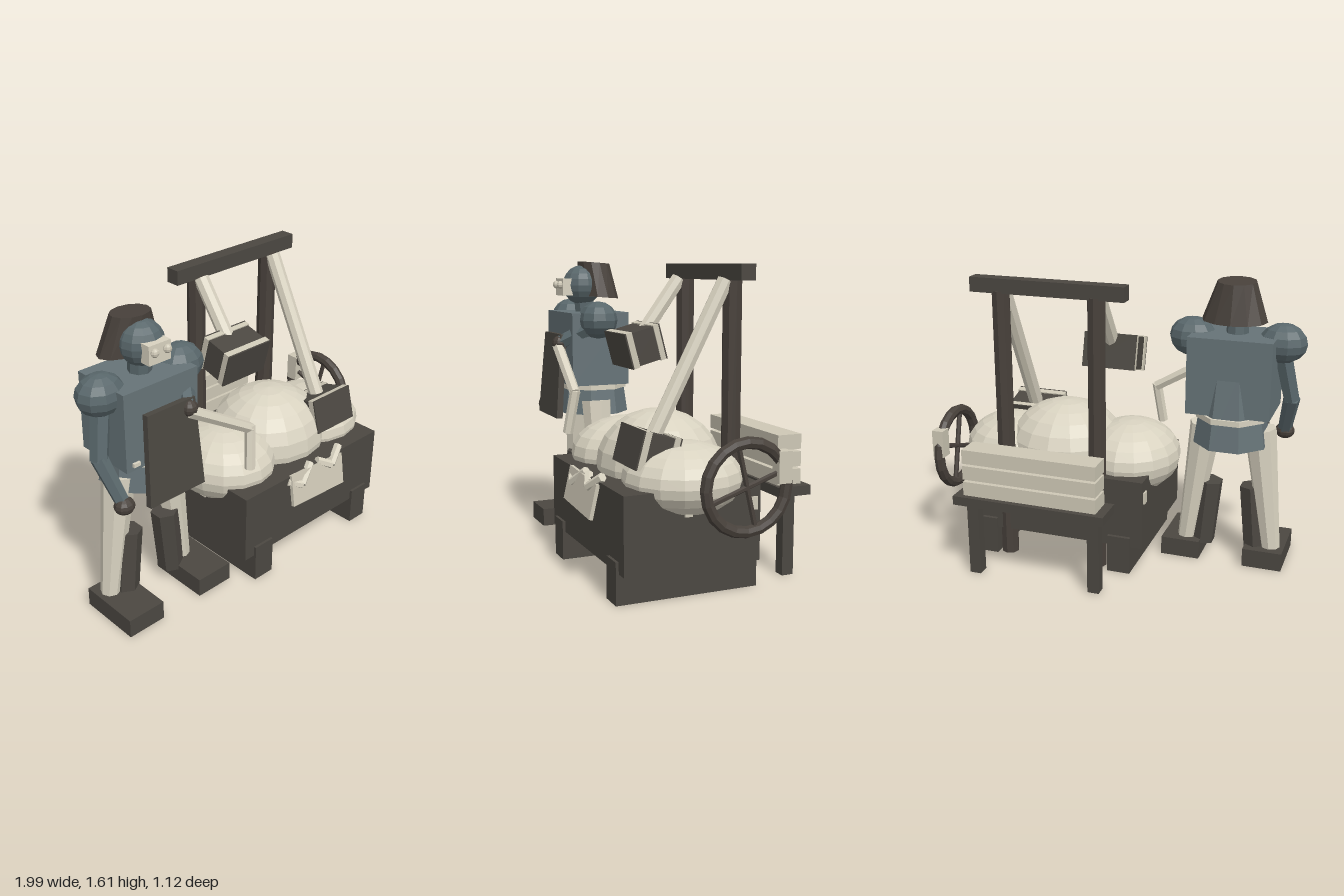
import * as THREE from 'three';

const paint = (name, color) => {
  const m = new THREE.MeshStandardMaterial({ color });
  m.name = name;
  return m;
};

export function createModel() {
  const darkWood = paint('dark wood', 0x4b4741);
  const brown = paint('dark brown', 0x48413b);
  const cream = paint('cream', 0xd8d2c0);
  const paleWood = paint('pale wood', 0xcdc7b5);
  const slate = paint('slate', 0x667377);
  const slateDark = paint('dark slate', 0x59676b);

  const model = new THREE.Group();
  model.name = 'workshopScene';
  const group = (name) => {
    const g = new THREE.Group();
    g.name = name;
    model.add(g);
    return g;
  };
  // Every mesh gets faceted normals
  const add = (parent, name, geo, mat) => {
    const g = geo.index ? geo.toNonIndexed() : geo;
    g.computeVertexNormals();
    const m = new THREE.Mesh(g, mat);
    m.name = name;
    parent.add(m);
    return m;
  };
  const box = (parent, name, mat, x0, x1, y0, y1, z0, z1) => {
    const m = add(parent, name, new THREE.BoxGeometry(x1 - x0, y1 - y0, z1 - z0), mat);
    m.position.set((x0 + x1) / 2, (y0 + y1) / 2, (z0 + z1) / 2);
    return m;
  };
  const rod = (parent, name, mat, a, b, ra, rb = ra, sides = 6) => {
    const A = new THREE.Vector3(...a), B = new THREE.Vector3(...b);
    const dir = B.clone().sub(A);
    const m = add(parent, name, new THREE.CylinderGeometry(rb, ra, dir.length(), sides), mat);
    m.position.copy(A).lerp(B, 0.5);
    m.quaternion.setFromUnitVectors(new THREE.Vector3(0, 1, 0), dir.normalize());
    return m;
  };
  const ball = (parent, name, mat, c, r, w = 10, h = 8) => {
    const m = add(parent, name, new THREE.SphereGeometry(1, w, h).scale(...r), mat);
    m.position.set(...c);
    return m;
  };

  // Trough on two runners, filled with three soft mounds
  const trough = group('trough');
  box(trough, 'troughBody', darkWood, -0.225, 0.828, 0.155, 0.545, -0.21, 0.51);
  box(trough, 'rightRunner', darkWood, -0.16, -0.03, 0, 0.214, -0.23, 0.525);
  box(trough, 'leftRunner', darkWood, 0.64, 0.763, 0, 0.214, -0.23, 0.525);
  for (const z of [0.18, -0.17])
    box(trough, 'sidePeg', paleWood, -0.235, 0.838, 0.415, 0.48, z - 0.02, z + 0.02);
  ball(trough, 'rightMound', cream, [-0.05, 0.57, 0.14], [0.28, 0.203, 0.31], 16, 12);
  ball(trough, 'middleMound', cream, [0.33, 0.58, 0.115], [0.345, 0.283, 0.32], 16, 12);
  ball(trough, 'leftMound', cream, [0.65, 0.565, 0.13], [0.3, 0.185, 0.3], 16, 12);

  // Cloth and two bent rolls hung over the front edge
  const cloth = box(trough, 'cloth', paleWood, 0.1, 0.508, 0.365, 0.545, 0.523, 0.543);
  cloth.rotation.set(-0.2, 0, -0.05);
  for (const [a, b, c] of [
    [[0.095, 0.515, 0.5], [0.175, 0.48, 0.535], [0.28, 0.555, 0.495]],
    [[0.33, 0.55, 0.5], [0.415, 0.505, 0.535], [0.515, 0.57, 0.495]],
  ]) {
    rod(trough, 'rollShortSide', cream, a, b, 0.024);
    rod(trough, 'rollLongSide', cream, b, c, 0.024);
  }

  // Frame with two swinging hammers
  const frame = group('hammerFrame');
  box(frame, 'topBeam', darkWood, -0.12, 0.75, 1.52, 1.6, -0.21, -0.13);
  const hammer = (name, x, y, z, tilt) => {
    rod(frame, 'post', brown, [x, 0, -0.17], [x, 1.53, -0.17], 0.05, 0.05, 8);
    rod(frame, name + 'Handle', cream, [x, 1.52, -0.13], [x, y, z], 0.042, 0.042, 8);
    const head = new THREE.Group();
    head.name = name + 'Head';
    head.position.set(x, y, z);
    head.rotation.x = tilt;
    frame.add(head);
    box(head, 'headBlock', darkWood, -0.143, 0.143, -0.09, 0.09, -0.1, 0.1);
    box(head, 'frontBand', paleWood, -0.15, 0.15, -0.096, 0.096, 0.06, 0.094);
    box(head, 'backBand', paleWood, -0.15, 0.15, -0.096, 0.096, -0.094, -0.065);
    box(head, 'frontFace', darkWood, -0.15, 0.15, -0.096, 0.096, 0.094, 0.102);
    box(head, 'backFace', darkWood, -0.15, 0.15, -0.096, 0.096, -0.102, -0.094);
  };
  hammer('raisedHammer', 0.045, 1.17, 0.125, 0.26);
  hammer('loweredHammer', 0.587, 0.705, 0.29, -0.26);

  // Crank wheel on the left side
  const wheel = group('wheel');
  add(wheel, 'rim', new THREE.TorusGeometry(0.215, 0.03, 8, 20).rotateY(Math.PI / 2), brown)
    .position.set(0.96, 0.562, -0.06);
  for (const [dy, dz] of [[0.2, 0.047], [0.068, -0.195]])
    rod(wheel, 'spoke', brown, [0.96, 0.562 - dy, -0.06 - dz], [0.96, 0.562 + dy, -0.06 + dz], 0.014);
  box(wheel, 'grip', paleWood, 0.927, 0.993, 0.57, 0.726, -0.285, -0.215);

  // Bench with stacked planks behind
  const bench = group('bench');
  box(bench, 'benchTop', darkWood, -0.125, 0.73, 0.43, 0.48, -0.56, -0.375);
  for (const x of [-0.045, 0.65])
    box(bench, 'benchLeg', darkWood, x - 0.032, x + 0.032, 0, 0.43, -0.495, -0.43);
  for (let i = 0; i < 3; i++)
    box(bench, 'plank', paleWood, -0.075, 0.68, 0.48 + i * 0.091, 0.558 + i * 0.091, -0.53, -0.393);

  // Standing worker, centred on cx
  const worker = group('worker');
  const cx = -0.628;
  for (const s of [-1, 1]) {
    const foot = cx + (s < 0 ? -0.21 : 0.262);
    box(worker, 'foot', darkWood, foot - 0.11, foot + 0.11, 0, 0.105, 0.07, 0.42);
    rod(worker, 'leg', cream, [cx + s * 0.245, 0.08, 0.16], [cx + s * 0.15, 0.8, 0.16], 0.052, 0.09, 8);
    rod(worker, 'boot', darkWood, [cx + s * 0.155, 0.08, 0.18], [cx + s * 0.122, 0.455, 0.18], 0.07, 0.075);
    ball(worker, 'shoulder', slateDark, [cx + s * 0.245, 1.28, 0.18], [0.129, 0.107, 0.11]);
  }
  box(worker, 'torso', slate, cx - 0.225, cx + 0.228, 0.9, 1.32, -0.015, 0.33);
  const coat = add(worker, 'coatSkirt',
    new THREE.CylinderGeometry(0.15, 0.21, 0.43, 8).rotateY(Math.PI / 8), slate);
  coat.position.set(cx, 0.935, 0.13);
  add(worker, 'belt', new THREE.CylinderGeometry(0.2, 0.2, 0.03, 8).rotateY(Math.PI / 8), cream)
    .position.set(cx, 0.88, 0.13);
  for (const s of [-1, 1])
    box(worker, 'beltEnd', cream, cx + s * 0.17 - 0.02, cx + s * 0.17 + 0.02, 0.925, 0.945, 0.325, 0.345);

  // Apron board, wider at the hem
  const hem = new THREE.Shape([[-0.175, -0.245], [0.175, -0.245], [0.148, 0.24], [-0.148, 0.24]]
    .map((p) => new THREE.Vector2(...p)));
  const apron = add(worker, 'apron',
    new THREE.ExtrudeGeometry(hem, { depth: 0.035, bevelEnabled: false }), darkWood);
  apron.position.set(cx + 0.018, 0.955, 0.365);
  apron.rotation.x = -0.08;

  // Arms
  rod(worker, 'rightUpperArm', slateDark, [-0.875, 1.23, 0.18], [-0.93, 0.96, 0.22], 0.052, 0.047);
  rod(worker, 'rightForearm', slateDark, [-0.93, 0.97, 0.22], [-0.885, 0.75, 0.33], 0.046, 0.038);
  ball(worker, 'rightHand', brown, [-0.885, 0.74, 0.34], [0.055, 0.045, 0.05]);
  rod(worker, 'leftUpperArm', slateDark, [-0.385, 1.25, 0.2], [-0.495, 1.15, 0.37], 0.05, 0.042);
  ball(worker, 'leftElbow', brown, [-0.495, 1.145, 0.375], [0.045, 0.045, 0.045]);
  rod(worker, 'leftForearm', cream, [-0.5, 1.13, 0.385], [-0.115, 0.9, 0.415], 0.033, 0.03);
  rod(worker, 'leftHandTool', cream, [-0.115, 0.915, 0.415], [-0.145, 0.68, 0.45], 0.028);

  // Head with face plate, eyes and a bucket hat
  rod(worker, 'neck', slateDark, [cx, 1.3, 0.17], [cx, 1.4, 0.18], 0.06, 0.06, 8);
  ball(worker, 'head', slateDark, [cx, 1.475, 0.19], [0.117, 0.117, 0.115], 12, 10);
  box(worker, 'facePlate', cream, cx - 0.067, cx + 0.065, 1.415, 1.515, 0.27, 0.33);
  for (const s of [-1, 1])
    ball(worker, 'eye', paleWood, [cx + s * 0.038, 1.478, 0.338], [0.023, 0.023, 0.02], 8, 6);
  const hatGeo = new THREE.CylinderGeometry(0.104, 0.175, 0.2, 12);
  const p = hatGeo.attributes.position;
  for (let i = 0; i < p.count; i++) {
    const low = p.getY(i) < 0; // the brim is narrower front to back
    const z = p.getZ(i) * (low ? 0.64 : 0.9) + (low ? -0.013 : 0.013);
    p.setZ(i, z);
    p.setY(i, p.getY(i) + z * 0.08);
  }
  add(worker, 'hat', hatGeo, brown).position.set(cx, 1.505, 0.103);

  return model;
}
